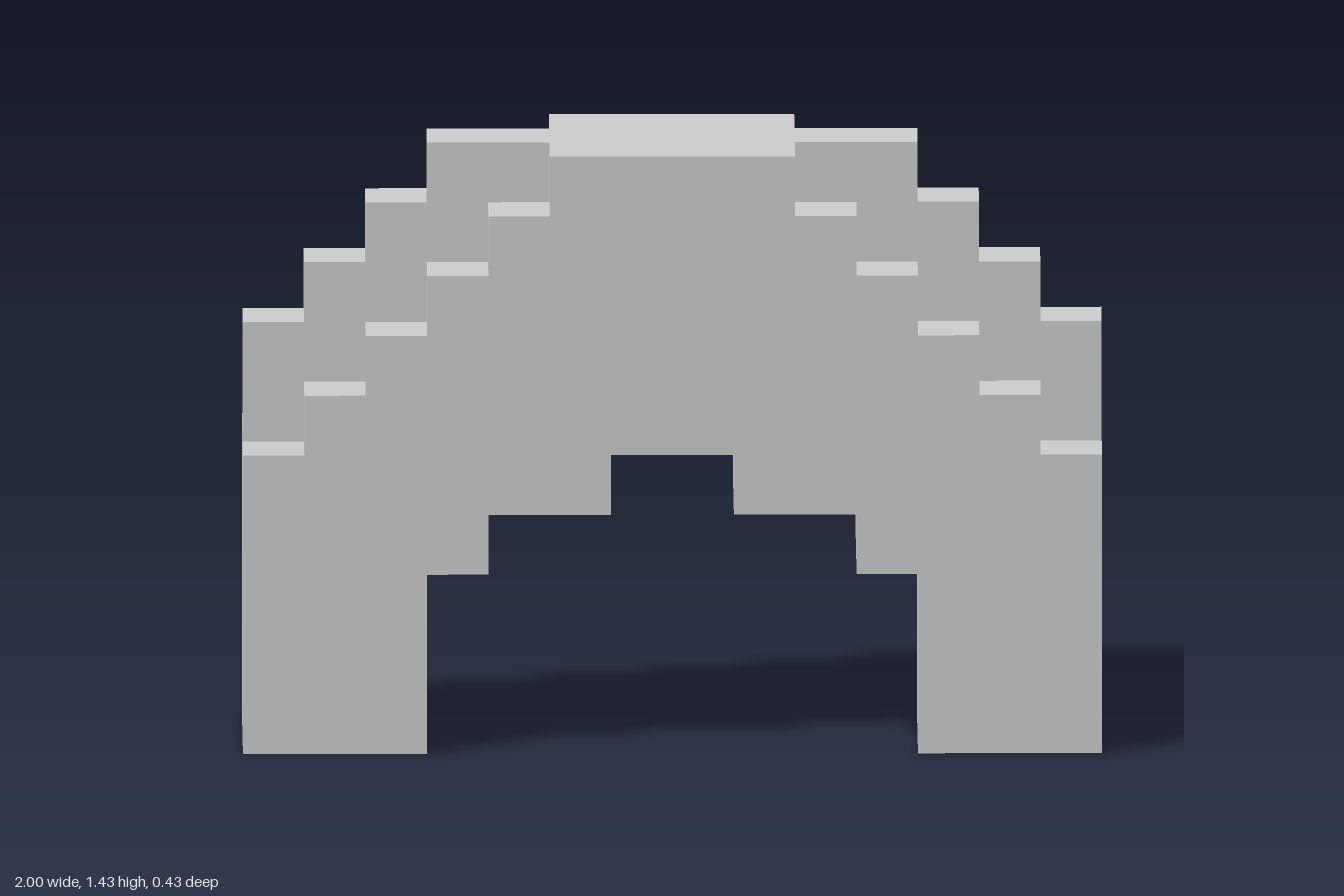
import * as THREE from 'three';

const U = 1 / 7; // one block
const material = new THREE.MeshStandardMaterial({ color: 0xcccccc, flatShading: true });

// Extrude a block outline (in block units), centred on z = 0
function slab(name, points, depth) {
  const shape = new THREE.Shape(points.map(([x, y]) => new THREE.Vector2(x * U, y * U)));
  const geometry = new THREE.ExtrudeGeometry(shape, { depth: depth * U, bevelEnabled: false });
  geometry.translate(0, 0, -depth * U / 2);
  const mesh = new THREE.Mesh(geometry, material);
  mesh.name = name;
  return mesh;
}

// Staircase corners climbing inwards from (x, y), one block at a time
function stairs(x, y, count) {
  const points = [];
  for (let i = 0; i < count; i++) points.push([x - i, y + i], [x - i - 1, y + i]);
  return points;
}

export function createModel() {
  const group = new THREE.Group();
  group.name = 'steppedArchBridge';

  // Arch body: underside opening, leg, then the outer stairs up to the deck
  const half = [
    [1, 5], [1, 4], [3, 4], [3, 3], [4, 3], [4, 0], [7, 0],
    ...stairs(7, 5, 5), [2, 10],
  ];
  const mirrored = half.map(([x, y]) => [-x, y]).reverse();
  group.add(slab('archBody', [...half, ...mirrored], 3));

  // Raised centre ridge on each flight of stairs
  const ridge = [...stairs(7, 7, 3), [4, 10], [2, 10], ...stairs(7, 5, 5).reverse()];
  for (const [side, name] of [[1, 'leftRidge'], [-1, 'rightRidge']]) {
    group.add(slab(name, ridge.map(([x, y]) => [x * side, y]), 1));
  }
  return group;
}
